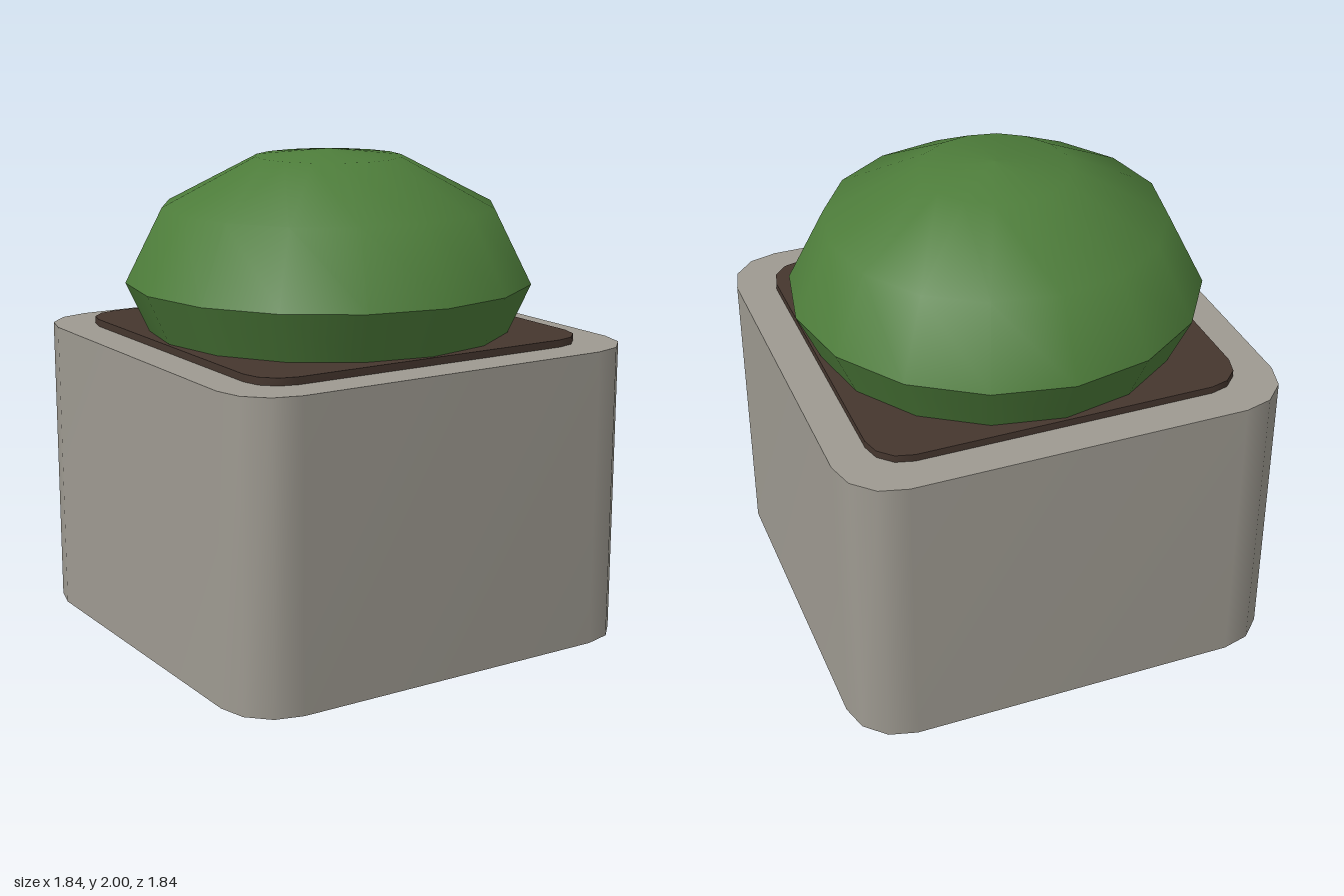
import * as THREE from 'three';

const mat = (name, color, side = THREE.FrontSide) =>
  Object.assign(new THREE.MeshStandardMaterial({ color, side }), { name });

// Rounded-square outline, running from +z towards +x
function outline(half, radius, segments = 3) {
  const points = [];
  for (let corner = 0; corner < 4; corner++) {
    const middle = (corner + 0.5) * Math.PI / 2;
    const cx = Math.sign(Math.sin(middle)) * (half - radius);
    const cz = Math.sign(Math.cos(middle)) * (half - radius);
    for (let i = 0; i <= segments; i++) {
      const a = (corner + i / segments) * Math.PI / 2;
      points.push([cx + radius * Math.sin(a), cz + radius * Math.cos(a)]);
    }
  }
  return points;
}

// Smooth upright walls with a flat lid and an open underside
function openBlock(half, radius, y0, y1) {
  const ring = outline(half, radius);
  const n = ring.length;
  const positions = [];
  const index = [];
  for (const y of [y0, y1, y1]) ring.forEach(([x, z]) => positions.push(x, y, z));
  positions.push(0, y1, 0);
  for (let i = 0; i < n; i++) {
    const j = (i + 1) % n;
    index.push(i, j, n + j, i, n + j, n + i);
    index.push(3 * n, 2 * n + i, 2 * n + j);
  }
  const geometry = new THREE.BufferGeometry();
  geometry.setAttribute('position', new THREE.Float32BufferAttribute(positions, 3));
  geometry.setIndex(index);
  geometry.computeVertexNormals();
  return geometry;
}

// Sixteen-sided turned form from [radius, height] pairs, bottom to top
const turned = (profile) =>
  new THREE.LatheGeometry(profile.map(([r, y]) => new THREE.Vector2(r, y)), 16);

export function createModel() {
  const model = new THREE.Group();
  model.name = 'planterWithBush';

  const stone = mat('stone', 0x9e9a91, THREE.DoubleSide);
  const earth = mat('earth', 0x45362e, THREE.DoubleSide);
  const leaf = mat('leaf', 0x4d7c3a, THREE.DoubleSide);

  const add = (name, geometry, material, parent = model) => {
    const mesh = new THREE.Mesh(geometry, material);
    mesh.name = name;
    parent.add(mesh);
  };

  add('planterBox', openBlock(0.922, 0.23, 0, 1.232), stone);
  add('soil', openBlock(0.767, 0.15, 1.232, 1.262), earth);

  // Bush: domed crown above a tucked-in skirt, with a sharp edge between them
  const bush = new THREE.Group();
  bush.name = 'bush';
  model.add(bush);
  add('bushCrown', turned([[0.845, 1.465], [0.69, 1.77], [0.305, 1.97], [0, 2]]), leaf, bush);
  add('bushSkirt', turned([[0.752, 1.262], [0.845, 1.465]]), leaf, bush);

  return model;
}
